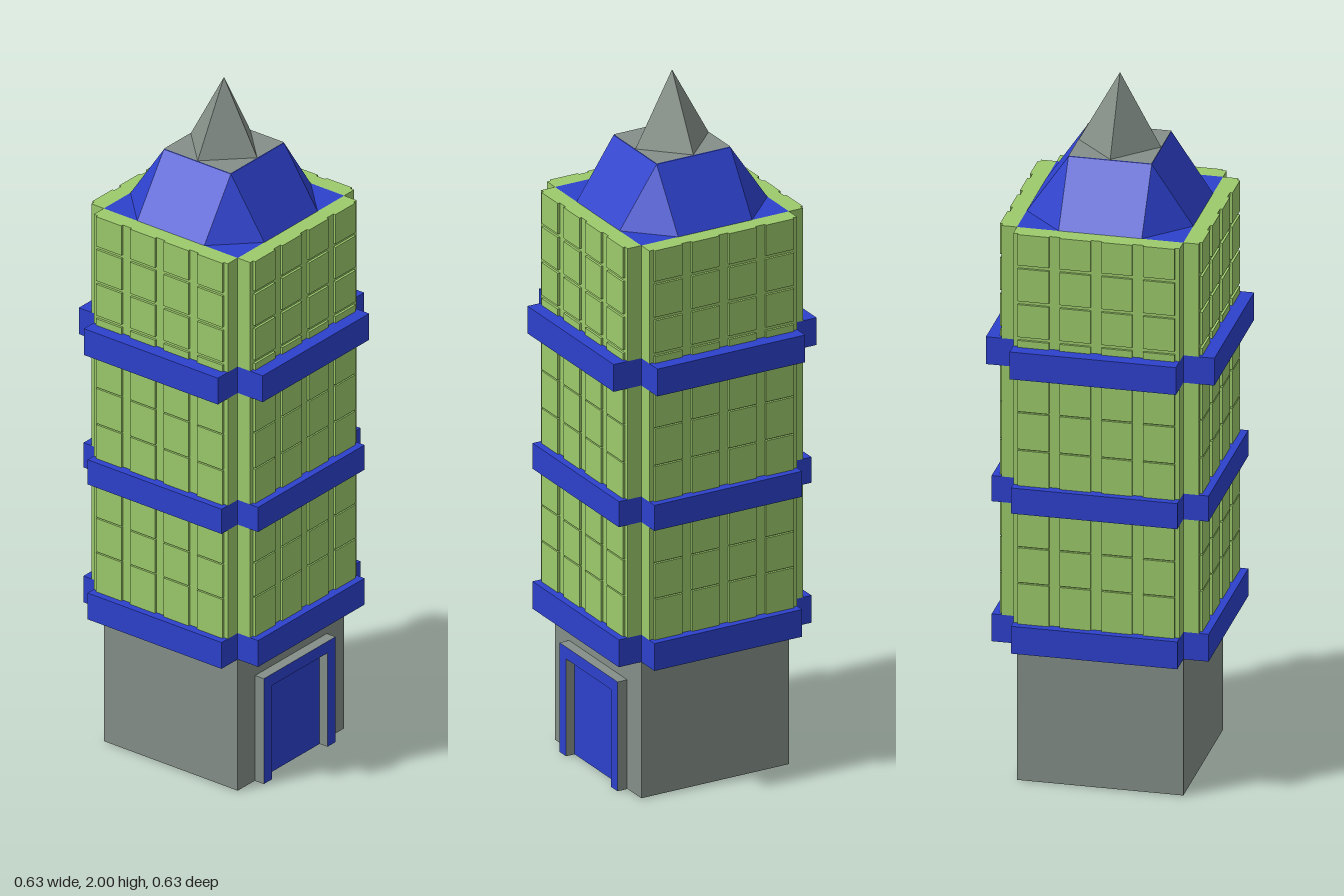
import * as THREE from 'three';
import { ConvexGeometry } from 'three/addons/geometries/ConvexGeometry.js';

const mat = (color) => new THREE.MeshStandardMaterial({ color, flatShading: true });
const stone = mat(0x858f88), green = mat(0x9ccb6b), blue = mat(0x2d41cd);
const HALF = 0.23; // half width of the square core

function add(parent, name, geometry, material) {
  const mesh = new THREE.Mesh(geometry, material);
  mesh.name = name;
  parent.add(mesh);
  return mesh;
}

// Box given by its lower and upper corner
function box(parent, name, material, [x0, y0, z0], [x1, y1, z1]) {
  const mesh = add(parent, name, new THREE.BoxGeometry(x1 - x0, y1 - y0, z1 - z0), material);
  mesh.position.set((x0 + x1) / 2, (y0 + y1) / 2, (z0 + z1) / 2);
  return mesh;
}

// Horizontal square facing up (or down)
function square(parent, name, material, half, y, down = false) {
  const mesh = add(parent, name, new THREE.PlaneGeometry(half * 2, half * 2), material);
  mesh.rotation.x = down ? Math.PI / 2 : -Math.PI / 2;
  mesh.position.y = y;
}

// Bands: bottom, top, outer reach
const bands = [[0.40, 0.48, 0.30], [0.81, 0.885, 0.30], [1.21, 1.29, 0.316]];
// Storeys: bottom, top, groove heights, groove width
const storeys = [
  [0.48, 0.81, [0.60, 0.705], 0.004],
  [0.885, 1.21, [0.99, 1.10], 0.004],
  [1.29, 1.62, [1.315, 1.42, 1.525], 0.01],
];
const columns = [[-0.217, -0.13], [-0.10, -0.015], [0.015, 0.10], [0.13, 0.217]];

// One side of the tower, facing +z
function createFacade() {
  const facade = new THREE.Group();
  facade.name = 'facade';
  for (const [y0, y1, reach] of bands)
    box(facade, 'band', blue, [-HALF, y0, HALF], [HALF, y1, reach]);
  for (const [y0, y1, grooves, width] of storeys) {
    box(facade, 'wall', green, [-HALF, y0, HALF], [HALF, y1, 0.273]);
    const cuts = [y0 - width / 2, ...grooves, y1 + width / 2];
    for (const [x0, x1] of columns)
      for (let i = 0; i < cuts.length - 1; i++)
        box(facade, 'wallPanel', green,
          [x0, cuts[i] + width / 2, 0.273], [x1, cuts[i + 1] - width / 2, 0.28]);
  }
  return facade;
}

// Doorway on the +x side: frame with a blue face around a recessed door
function createDoorway() {
  const door = new THREE.Group();
  door.name = 'doorway';
  const outline = new THREE.Shape([[-0.155, 0], [-0.12, 0], [-0.12, 0.285], [0.12, 0.285],
    [0.12, 0], [0.155, 0], [0.155, 0.32], [-0.155, 0.32]].map(([x, y]) => new THREE.Vector2(x, y)));
  const frame = new THREE.ExtrudeGeometry(outline, { depth: 0.03, bevelEnabled: false });
  add(door, 'doorFrame', frame, [blue, stone]).position.z = HALF;
  box(door, 'doorLeaf', blue, [-0.12, 0, HALF - 0.01], [0.12, 0.285, HALF + 0.003]);
  door.rotation.y = Math.PI / 2;
  return door;
}

export function createModel() {
  const tower = new THREE.Group();
  tower.name = 'tower';

  // Core
  box(tower, 'base', stone, [-HALF, 0.001, -HALF], [HALF, 0.40, HALF]);
  square(tower, 'underside', blue, HALF, 0, true);
  box(tower, 'shaft', green, [-HALF, 0.40, -HALF], [HALF, 1.618, HALF]);
  square(tower, 'roofDeck', blue, HALF, 1.62);

  // Four equal sides
  for (let i = 0; i < 4; i++) {
    const facade = createFacade();
    facade.rotation.y = (i * Math.PI) / 2;
    tower.add(facade);
  }
  tower.add(createDoorway());

  // Roof: octagonal foot narrowing to a square top
  const inner = 0.115, points = [];
  for (const sx of [-1, 1])
    for (const sz of [-1, 1])
      points.push(
        new THREE.Vector3(sx * inner, 1.62, sz * HALF),
        new THREE.Vector3(sx * HALF, 1.62, sz * inner),
        new THREE.Vector3(sx * inner, 1.79, sz * inner));
  add(tower, 'roof', new ConvexGeometry(points), blue);
  square(tower, 'roofCap', stone, inner, 1.792);

  // Spire: four-sided, set cornerwise on the cap
  add(tower, 'spire', new THREE.ConeGeometry(inner, 0.21, 4), stone).position.y = 1.895;
  return tower;
}
